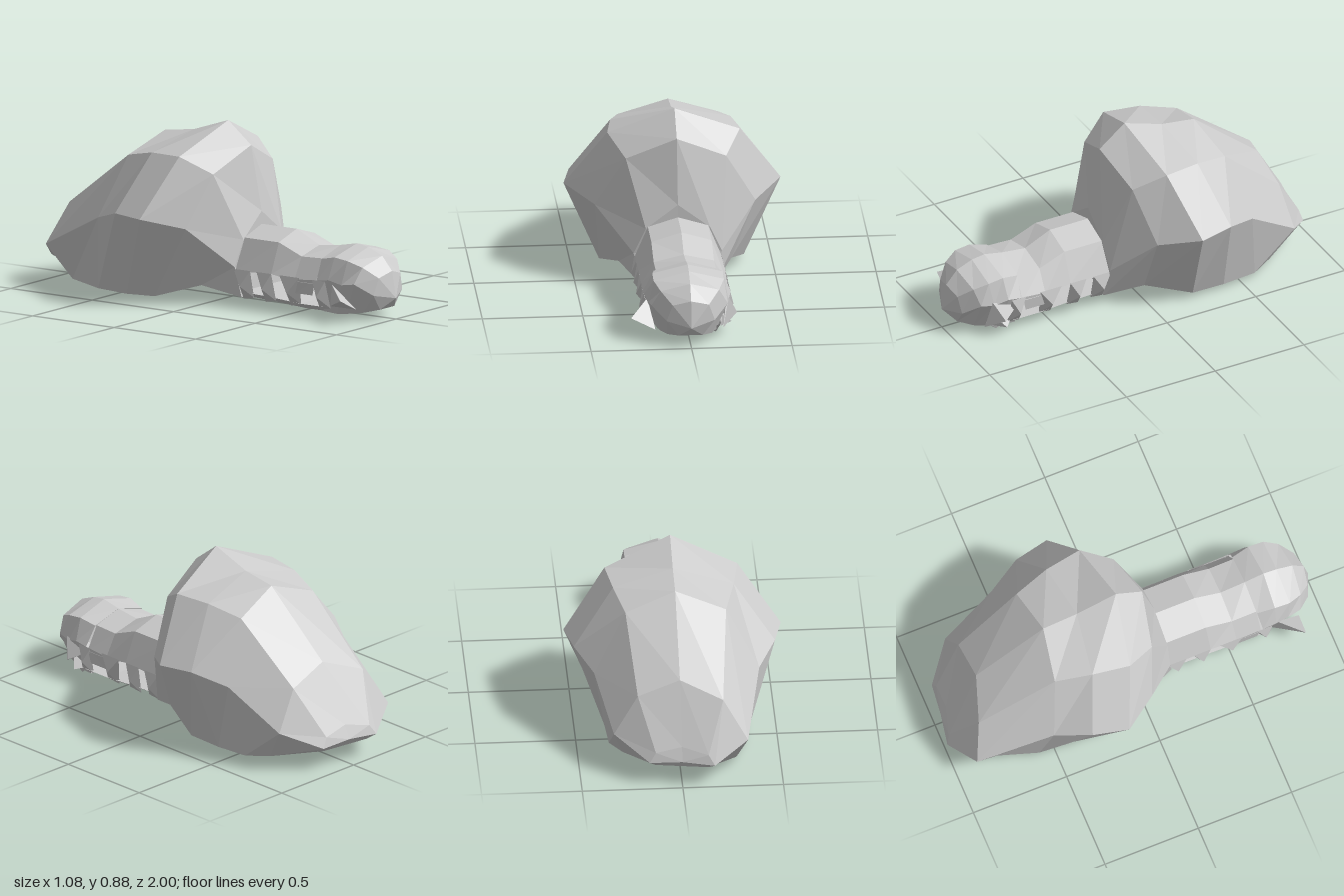
import * as THREE from 'three';

const material = new THREE.MeshStandardMaterial({ color: 0xcccccc, flatShading: true, side: THREE.DoubleSide });

function meshFrom(name, triangles) {
  const geometry = new THREE.BufferGeometry();
  geometry.setAttribute('position', new THREE.Float32BufferAttribute(triangles.flat(2), 3));
  geometry.computeVertexNormals();
  const mesh = new THREE.Mesh(geometry, material);
  mesh.name = name;
  return mesh;
}

// Half section, top to bottom on +x, mirrored to a full ring (clockwise from the front)
function fullRing(half) {
  const mirrored = half.filter(p => p[0] > 0).reverse().map(([x, y, z]) => [-x, y, z]);
  return [...half, ...mirrored];
}

// Skin between rings running front to back; `open` leaves out the underside strip
function skin(rings, open = false) {
  const triangles = [];
  for (let i = 0; i < rings.length - 1; i++) {
    const a = rings[i], b = rings[i + 1], n = a.length;
    for (let j = 0; j < n; j++) {
      const k = (j + 1) % n;
      if (open && j === (n - 1) / 2) continue;
      triangles.push([a[j], a[k], b[j]], [a[k], b[k], b[j]]);
    }
  }
  return triangles;
}

function cap(ring, tip, front) {
  return ring.map((p, j) => {
    const q = ring[(j + 1) % ring.length];
    return front ? [tip, q, p] : [tip, p, q];
  });
}

function createAbdomen() {
  // each section: ridge, shoulder, widest point, underside edge
  const rings = [
    [[0, 0.45, 0.175], [0.16, 0.33, 0.18], [0.22, 0.2, 0.17], [0.19, 0.045, 0.19]],
    [[0, 0.775, 0.11], [0.25, 0.66, 0.06], [0.4, 0.4, 0], [0.28, 0.1, 0.01]],
    [[0, 0.885, -0.03], [0.33, 0.745, -0.09], [0.54, 0.45, -0.18], [0.36, 0.03, -0.22]],
    [[0, 0.815, -0.24], [0.3, 0.74, -0.28], [0.5, 0.455, -0.36], [0.35, 0.02, -0.4]],
    [[0, 0.79, -0.42], [0.25, 0.7, -0.46], [0.41, 0.4, -0.53], [0.34, 0.025, -0.58]],
    [[0, 0.49, -0.78], [0.21, 0.41, -0.82], [0.33, 0.21, -0.86], [0.28, 0.04, -0.74]],
    [[0, 0.2, -0.94], [0.13, 0.17, -0.96], [0.16, 0.12, -0.975], [0.13, 0.09, -0.94]],
  ].map(fullRing);
  // the tail is slightly skewed to one side
  for (const p of rings.slice(5).flat()) p[2] += p[0] * 0.15;
  return meshFrom('abdomen', [
    ...skin(rings),
    ...cap(rings[0], [0, 0.2, 0.18], true),
    ...cap(rings[6], [0, 0.13, -0.97], false),
  ]);
}

function createHead() {
  const rings = [
    [[0, 0.24, 0.975], [0.09, 0.215, 0.96], [0.12, 0.13, 0.95], [0.06, 0.05, 0.945]],
    [[0, 0.31, 0.915], [0.145, 0.27, 0.9], [0.19, 0.19, 0.88], [0.11, 0.035, 0.88]],
    [[0, 0.345, 0.83], [0.175, 0.3, 0.83], [0.2, 0.18, 0.81], [0.14, 0.025, 0.8]],
    [[0, 0.355, 0.76], [0.175, 0.31, 0.75], [0.215, 0.2, 0.74], [0.15, 0.02, 0.75]],
    [[0, 0.335, 0.66], [0.16, 0.29, 0.66], [0.215, 0.19, 0.67], [0.17, 0.03, 0.68]],
  ].map(fullRing);
  return meshFrom('head', [...skin(rings), ...cap(rings[0], [0, 0.105, 1], true)]);
}

function createThorax() {
  // arched back: z, ridge height, shoulder height, lower edge height
  const rings = [
    [0.66, 0.335, 0.29, 0.17], [0.53, 0.32, 0.285, 0.17], [0.39, 0.385, 0.34, 0.19], [0.17, 0.385, 0.34, 0.18],
  ].map(([z, top, shoulder, edge]) => fullRing([[0, top, z], [0.15, shoulder, z], [0.215, edge, z]]));
  return meshFrom('thorax', skin(rings, true));
}

function createBelly() {
  const rings = [[0.7, 0.025], [0.55, 0.025], [0.4, 0.035], [0.17, 0.045]].map(([z, y]) =>
    [[-0.19, y + 0.03, z], [0.19, y + 0.03, z], [0.14, y, z], [-0.14, y, z]]);
  return meshFrom('belly', skin(rings));
}

// Folded leg panels joining the back to the belly, with gaps between them
function createLegs(side) {
  const triangles = [];
  const add = (...corners) => {
    const t = corners.map(([x, y, z]) => [x * side, y, z]);
    triangles.push(side > 0 ? t : t.reverse());
  };
  for (const [front, back] of [[0.72, 0.64], [0.56, 0.44], [0.39, 0.3], [0.26, 0.16]]) {
    const mid = (front + back) / 2;
    const topFront = [0.215, 0.19, front], topBack = [0.215, 0.19, back];
    const knee = [0.235, 0.11, mid], foot = [0.17, 0.035, mid - 0.02], heel = [0.18, 0.05, mid + 0.05];
    add(topFront, knee, topBack);
    add(topFront, heel, knee);
    add(heel, foot, knee);
    add(knee, foot, topBack);
  }
  // strip closing the upper part of the forward gap
  add([0.215, 0.19, 0.66], [0.21, 0.11, 0.64], [0.21, 0.11, 0.53]);
  add([0.215, 0.19, 0.66], [0.21, 0.11, 0.53], [0.215, 0.18, 0.53]);
  return meshFrom(side > 0 ? 'leftLegs' : 'rightLegs', triangles);
}

// Small pointed spike: three base corners and a tip
function createSpike(name, a, b, c, tip) {
  return meshFrom(name, [[a, b, tip], [b, c, tip], [c, a, tip]]);
}

export function createModel() {
  const model = new THREE.Group();
  model.name = 'larva';
  model.add(createAbdomen(), createThorax(), createBelly(), createHead(), createLegs(1), createLegs(-1));
  // uneven spikes at the cheeks and under the jaw
  model.add(
    createSpike('rightCheekSpike', [-0.2, 0.18, 0.75], [-0.17, 0.06, 0.72], [-0.17, 0.06, 0.88], [-0.29, 0.12, 0.87]),
    createSpike('leftCheekSpike', [0.2, 0.2, 0.82], [0.17, 0.05, 0.85], [0.2, 0.15, 0.68], [0.245, 0.1, 0.77]),
    createSpike('leftJawSpike', [0.16, 0.07, 0.84], [0.1, 0.03, 0.82], [0.16, 0.06, 0.7], [0.14, 0, 0.77]),
    createSpike('leftJawBarb', [0.17, 0.1, 0.8], [0.16, 0.04, 0.8], [0.17, 0.06, 0.7], [0.22, 0.045, 0.75]),
  );
  return model;
}
